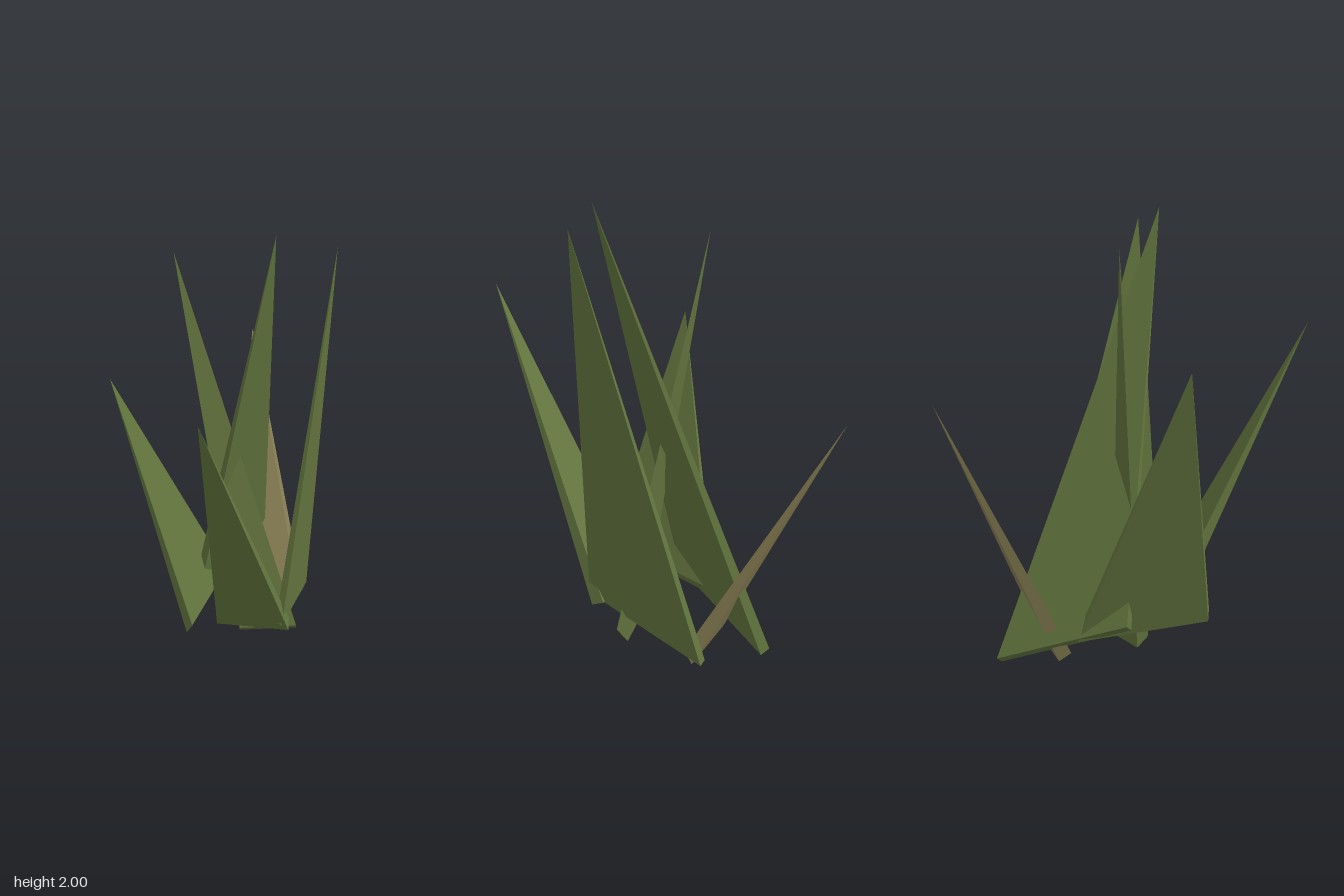
import * as THREE from 'three';

const green = new THREE.MeshStandardMaterial({ color: 0x64763f });
green.name = 'leaf green';
const tan = new THREE.MeshStandardMaterial({ color: 0x877e54 });
tan.name = 'dry tan';

// A blade is a pyramid: a slim four-cornered foot (edge a-b, offset by the thickness) drawn up to a tip.
function blade(name, tip, a, b, thickness, material) {
  const t = new THREE.Vector3(...thickness);
  const foot = [new THREE.Vector3(...a), new THREE.Vector3(...b)];
  foot.push(foot[1].clone().add(t), foot[0].clone().add(t));
  const top = new THREE.Vector3(...tip);

  // Order the foot so that every face looks outward
  const normal = foot[1].clone().sub(foot[0]).cross(foot[2].clone().sub(foot[0]));
  if (normal.dot(top.clone().sub(foot[0])) < 0) foot.reverse();

  const points = [foot[0], foot[2], foot[1], foot[0], foot[3], foot[2]];
  for (let i = 0; i < 4; i++) points.push(foot[i], foot[(i + 1) % 4], top);

  const geometry = new THREE.BufferGeometry().setFromPoints(points);
  geometry.computeVertexNormals();
  const mesh = new THREE.Mesh(geometry, material);
  mesh.name = name;
  return mesh;
}

export function createModel() {
  const tuft = new THREE.Group();
  tuft.name = 'grassTuft';
  tuft.add(
    // Tall blades
    blade('tallFrontBlade', [0.11, 1.96, 0.465], [-0.05, 0.21, 0.325], [0.475, 0.05, 0.04], [0.012, -0.015, 0.028], green),
    blade('tallMiddleBlade', [-0.05, 2.0, 0.29], [-0.06, 0.2, -0.165], [0.51, 0.03, -0.27], [-0.005, -0.025, 0.04], green),
    blade('tallBackBlade', [-0.06, 1.81, -0.26], [-0.02, 0.03, 0.085], [0.17, 0.03, 0.265], [-0.04, 0.05, 0.035], green),
    // Blades leaning outward
    blade('rightFrontBlade', [-0.69, 1.49, 0.48], [-0.18, 0.155, 0.09], [0, 0.155, 0.36], [0.045, 0.025, -0.035], green),
    blade('rightBackBlade', [-0.39, 1.32, -0.32], [-0.35, 0.24, 0.1], [0.16, 0.17, -0.165], [-0.005, -0.05, -0.03], green),
    // Dry blade
    blade('leftDryBlade', [0.69, 1.17, -0.48], [0.44, 0.02, 0.085], [0.25, 0.02, -0.185], [-0.055, 0.04, 0.01], tan),
  );
  return tuft;
}
